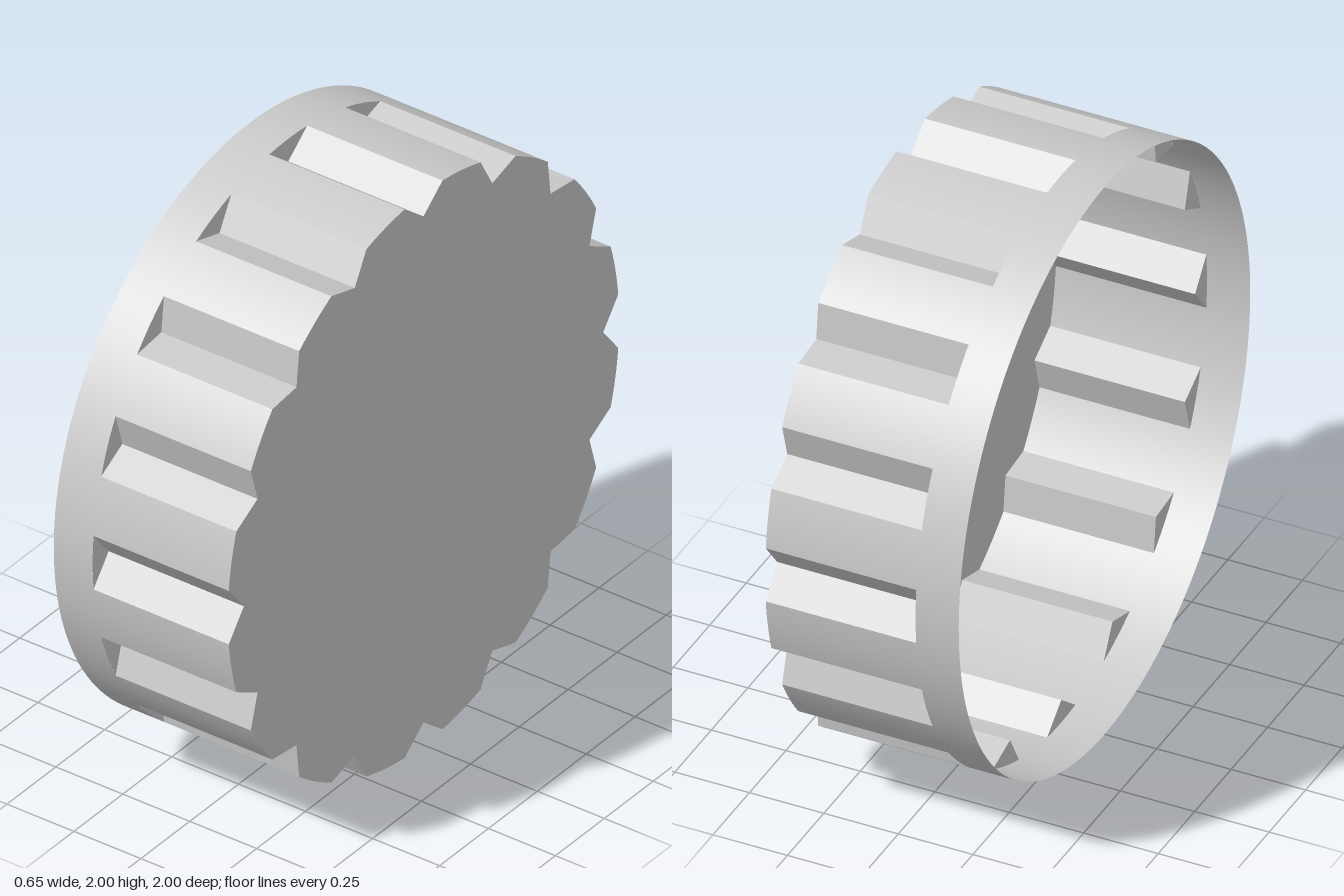
import * as THREE from 'three';

const NOTCHES = 16, R = 1, APEX = 0.918, HALF = 0.097;
const OPEN = -0.325, LEDGE = -0.18, CLOSED = 0.325;
const STEP = (Math.PI * 2) / NOTCHES;

const polar = (r, a) => new THREE.Vector2(r * Math.cos(a), r * Math.sin(a));

// Open cylinder wall about z, between two depths, starting at angle a
function wall(z0, z1, a, sweep, segments) {
  const g = new THREE.CylinderGeometry(R, R, z1 - z0, segments, 1, true, a + Math.PI / 2, sweep);
  return g.rotateX(Math.PI / 2).translate(0, 0, (z0 + z1) / 2);
}

// The two flat faces of a V groove, following the points counterclockwise
function grooveFaces(points) {
  const pos = [];
  for (let i = 0; i < points.length - 1; i++) {
    const p = points[i], q = points[i + 1];
    pos.push(p.x, p.y, LEDGE, q.x, q.y, LEDGE, q.x, q.y, CLOSED);
    pos.push(p.x, p.y, LEDGE, q.x, q.y, CLOSED, p.x, p.y, CLOSED);
  }
  const g = new THREE.BufferGeometry();
  g.setAttribute('position', new THREE.Float32BufferAttribute(pos, 3));
  g.computeVertexNormals();
  return g;
}

export function createModel() {
  const model = new THREE.Group();
  model.name = 'notchedCap';
  const cap = new THREE.Group();
  cap.name = 'cap';
  const material = new THREE.MeshStandardMaterial({ color: 0xcccccc, side: THREE.DoubleSide });
  const add = (name, geometry) => {
    const mesh = new THREE.Mesh(geometry, material);
    mesh.name = name;
    cap.add(mesh);
  };

  // Plain rim around the open end
  add('rim', wall(OPEN, LEDGE, 0, Math.PI * 2, NOTCHES * 10));

  const lid = new THREE.Shape();
  for (let i = 0; i < NOTCHES; i++) {
    const a = i * STEP;
    const groove = [polar(R, a - HALF), polar(APEX, a), polar(R, a + HALF)];

    // Curved wall between this notch and the next
    add('rib', wall(LEDGE, CLOSED, a + HALF, STEP - 2 * HALF, 6));
    add('notch', grooveFaces(groove));

    // Small ledge closing the notch at the rim
    const ledge = new THREE.Shape(groove);
    for (let k = 1; k < 4; k++) {
      const p = polar(R, a + HALF - (k / 4) * 2 * HALF);
      ledge.lineTo(p.x, p.y);
    }
    add('notchEnd', new THREE.ShapeGeometry(ledge).translate(0, 0, LEDGE));

    // Lid outline: the V, then the arc to the next notch
    groove.forEach((p, k) => (i + k === 0 ? lid.moveTo(p.x, p.y) : lid.lineTo(p.x, p.y)));
    for (let k = 1; k < 6; k++) {
      const p = polar(R, a + HALF + (k / 6) * (STEP - 2 * HALF));
      lid.lineTo(p.x, p.y);
    }
  }
  add('lid', new THREE.ShapeGeometry(lid).translate(0, 0, CLOSED));

  // Turn the closed end to +x and stand the cap on its side
  cap.rotation.y = Math.PI / 2;
  cap.position.y = R;
  model.add(cap);
  return model;
}
